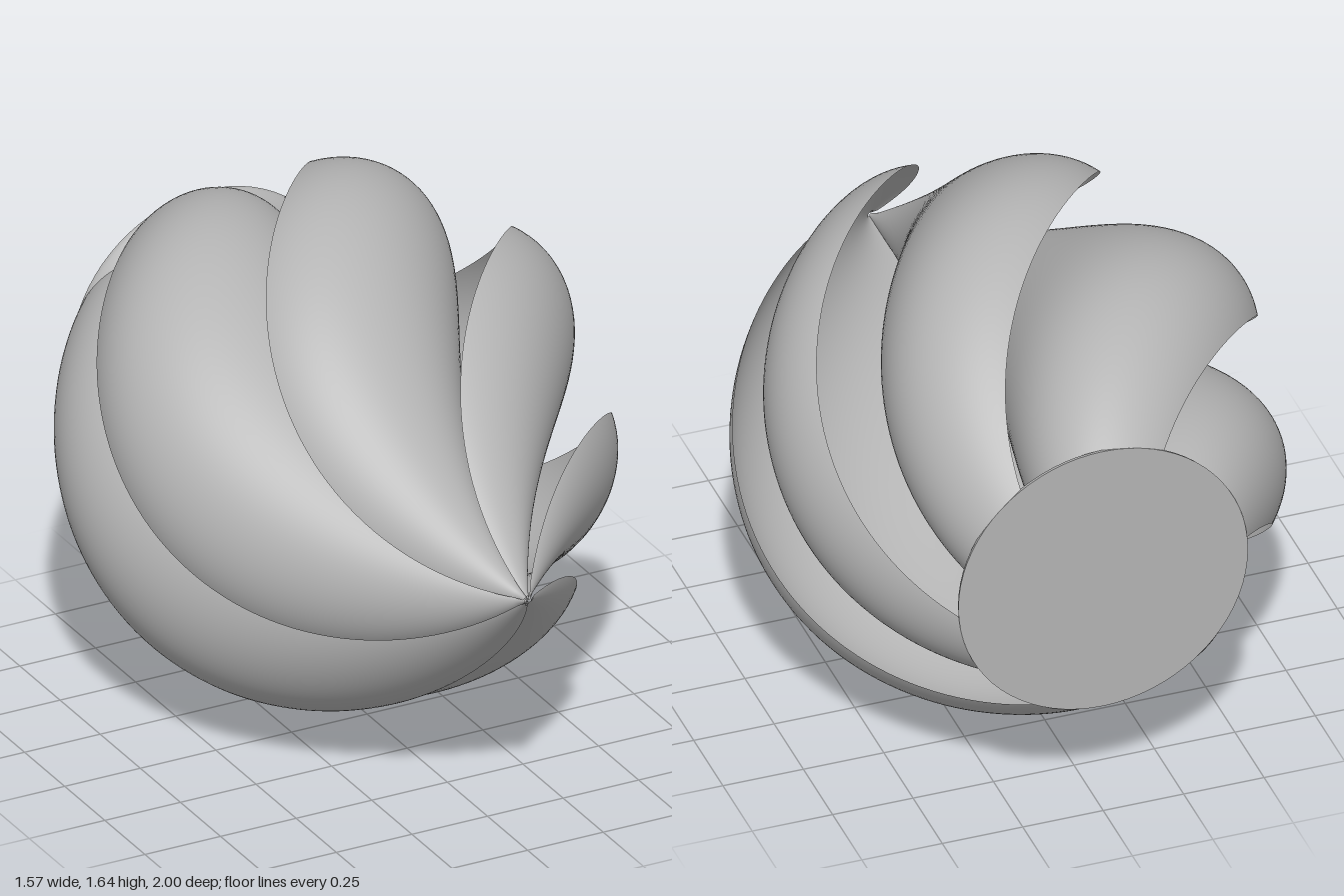
import * as THREE from 'three';
import { ParametricGeometry } from 'three/addons/geometries/ParametricGeometry.js';

const PETALS = 6;
const CENTRE_Y = 0.82;
const BASE_RADIUS = 0.45;
const RAD = Math.PI / 180;

// Radius of the petal edge along the axis: a point at z = 1, fullest near z = -0.2
function edgeRadius(z) {
  const t = Math.pow((1 - z) / 2, 0.94);
  return Math.max(0.012, 0.804 * Math.sin(Math.PI * 0.815 * t));
}

// One petal: a circular arc from the free edge to the axis, scaled and twisted along z
function petalGeometry(turn) {
  const bulge = 0.1;
  const arcRadius = Math.hypot(0.5, bulge);
  const start = -Math.atan2(bulge, 0.5);
  const sweep = Math.PI - 2 * start;
  return new ParametricGeometry((u, v, target) => {
    const z = 1 - 2 * v;
    const r = edgeRadius(z);
    const pol = (115 + 60 * z) * RAD + turn;
    const a = start + sweep * u;
    const along = r * (0.5 + arcRadius * Math.cos(a));
    const across = r * (bulge + arcRadius * Math.sin(a));
    target.set(
      along * Math.cos(pol) + across * Math.sin(pol),
      along * Math.sin(pol) - across * Math.cos(pol),
      z
    );
  }, 40, 72);
}

export function createModel() {
  const group = new THREE.Group();
  group.name = 'twistedBud';
  const grey = new THREE.MeshStandardMaterial({ color: 0xb4b4b4, side: THREE.DoubleSide });
  grey.name = 'grey';

  const add = (geometry, name, z = 0) => {
    const mesh = new THREE.Mesh(geometry, grey);
    mesh.name = name;
    mesh.position.set(0, CENTRE_Y, z);
    group.add(mesh);
  };

  // Six overlapping petals twisted round the z axis
  for (let i = 0; i < PETALS; i++) {
    add(petalGeometry(i * 2 * Math.PI / PETALS), 'petal' + (i + 1));
  }

  // Flat round base at the back, with a shallow dome inside the petals
  add(new THREE.CircleGeometry(BASE_RADIUS, 72).rotateY(Math.PI), 'base', -1);
  const dome = new THREE.SphereGeometry(1, 72, 12, 0, 2 * Math.PI, 0, Math.PI / 2);
  dome.rotateX(Math.PI / 2).scale(BASE_RADIUS, BASE_RADIUS, 0.105);
  add(dome, 'baseDome', -1);

  return group;
}
